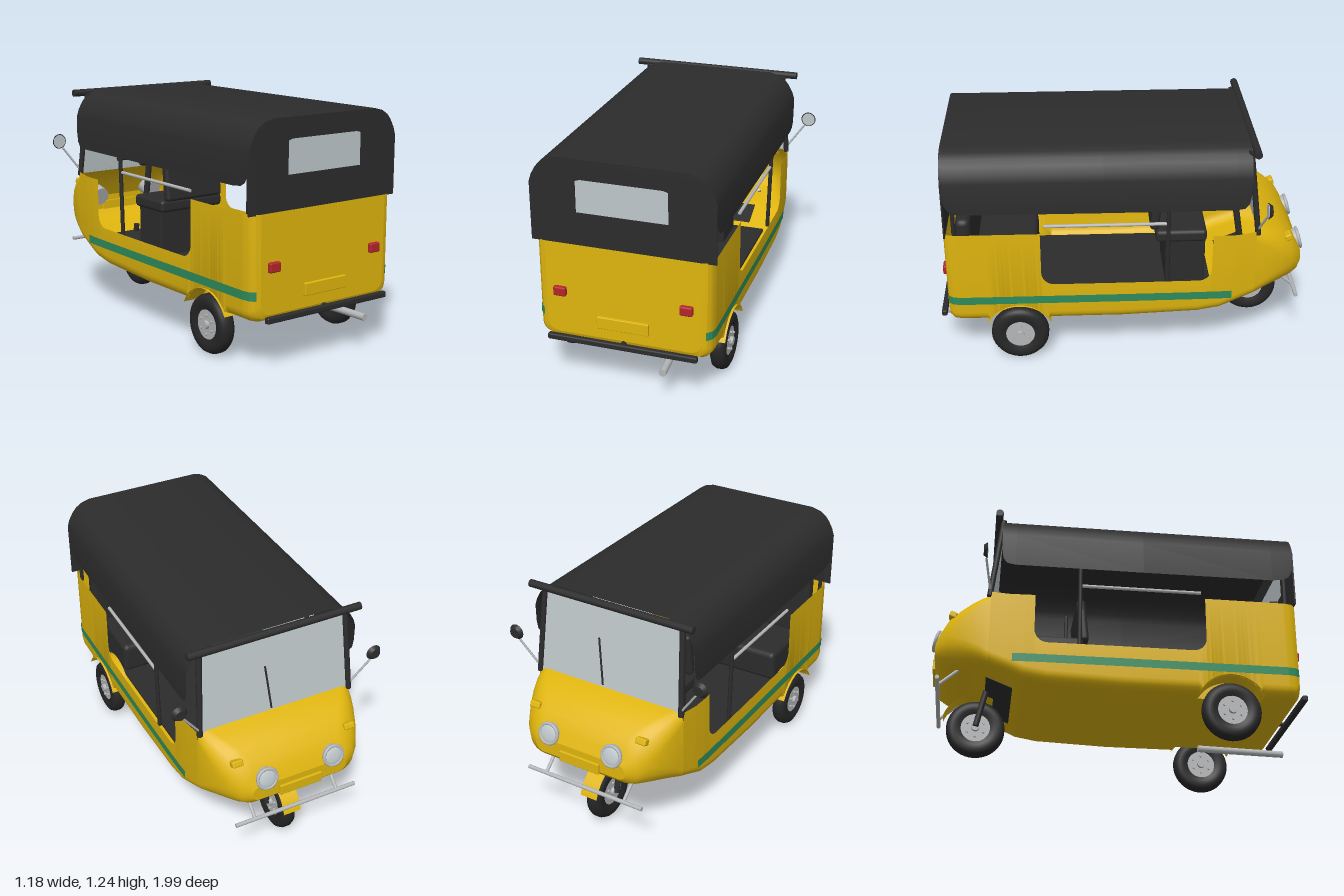
import * as THREE from 'three';
import { toCreasedNormals } from 'three/addons/utils/BufferGeometryUtils.js';
import { RoundedBoxGeometry } from 'three/addons/geometries/RoundedBoxGeometry.js';

const material = (name, color, side = THREE.FrontSide) =>
  Object.assign(new THREE.MeshStandardMaterial({ color, side }), { name });

// Linear lookup in rows [z, value...] sorted by falling z
function lookup(rows, z, col) {
  if (z >= rows[0][0]) return rows[0][col];
  for (let i = 1; i < rows.length; i++) {
    const a = rows[i - 1], b = rows[i];
    if (z >= b[0]) return a[col] + (b[col] - a[col]) * (a[0] - z) / (a[0] - b[0]);
  }
  return rows[rows.length - 1][col];
}

// Skin through equal-length open rings of [x, y, z]
function loft(rings, crease = 0.6) {
  const n = rings[0].length, index = [];
  for (let i = 0; i < rings.length - 1; i++)
    for (let j = 0; j < n - 1; j++) {
      const a = i * n + j, b = a + n;
      index.push(a, a + 1, b, a + 1, b + 1, b);
    }
  const g = new THREE.BufferGeometry();
  g.setAttribute('position', new THREE.Float32BufferAttribute(rings.flat(2), 3));
  g.setIndex(index);
  g.computeVertexNormals();
  return toCreasedNormals(g, crease);
}

const ringShape = ring => new THREE.Shape(ring.map(p => new THREE.Vector2(p[0], p[1])));

// Tub sections: z, underside height, half width
const TUB = [[0.93, 0.285, 0.405], [0.922, 0.265, 0.432], [0.9, 0.253, 0.449], [0.86, 0.25, 0.457],
  [0, 0.25, 0.458], [-0.4, 0.265, 0.456], [-0.52, 0.285, 0.454], [-0.6, 0.32, 0.45], [-0.7, 0.36, 0.44]];
// Nose sections: z, underside, top, half width, corner radius
const NOSE = [[-0.7, 0.36, 0.762, 0.44, 0.06], [-0.74, 0.372, 0.752, 0.433, 0.075], [-0.79, 0.382, 0.735, 0.42, 0.095],
  [-0.85, 0.39, 0.705, 0.398, 0.115], [-0.91, 0.402, 0.66, 0.365, 0.115], [-0.95, 0.425, 0.59, 0.325, 0.08],
  [-0.975, 0.455, 0.54, 0.27, 0.04]];
const halfWidth = z => lookup(TUB, z, 2);

// Height of the side wall, with the rounded door opening
function wallTop(z) {
  if (z > 0.43) return 0.787;
  if (z < -0.47) return z < -0.6 ? 0.75 + (-0.6 - z) * 0.12 : 0.75;
  const r = 0.07, d = Math.min(0.43 - z, z + 0.47);
  return d < r ? 0.55 - Math.sqrt(r * r - (r - d) ** 2) : 0.48;
}

// U-shaped tub section, with a notch over the rear wheels
function tubRing(z) {
  const yb = lookup(TUB, z, 1), w = halfWidth(z);
  const arch = 0.185 ** 2 - (z - 0.555) ** 2;
  const lift = arch > 0 ? Math.max(0, 0.16 + Math.sqrt(arch) - yb) : 0;
  const r = lift > 0 ? 0.01 : 0.06, xi = Math.min(0.36, w - r);
  const half = [[0, yb, z], [xi, yb, z], [xi, yb + lift, z]];
  for (let i = 0; i <= 5; i++) {
    const a = i / 5 * Math.PI / 2;
    half.push([w - r + r * Math.sin(a), yb + lift + r - r * Math.cos(a), z]);
  }
  half.push([w, wallTop(z), z]);
  return [...half.slice(1).reverse().map(p => [-p[0], p[1], p[2]]), ...half];
}

function noseRing([z, yb, yt, w, r]) {
  const ring = [];
  [[1, 1], [-1, 1], [-1, -1], [1, -1]].forEach(([sx, sy], q) => {
    for (let i = 0; i <= 5; i++) {
      const a = (q + i / 5) * Math.PI / 2;
      ring.push([sx * (w - r) + r * Math.cos(a), (sy > 0 ? yt - r : yb + r) + r * Math.sin(a), z]);
    }
  });
  return [...ring, ring[0]];
}

// Curved mudguard strip around a wheel centre
function guard(cz, r, x0, x1, from, to) {
  const rings = [];
  for (let i = 0; i <= 20; i++) {
    const a = THREE.MathUtils.degToRad(from + (to - from) * i / 20);
    rings.push([x0, x1].map(x => [x, 0.16 + r * Math.sin(a), cz + r * Math.cos(a)]));
  }
  return loft(rings);
}

export function createModel() {
  const D = THREE.DoubleSide;
  const yellow = material('yellow paint', 0xdfb50e, D), black = material('black canvas and trim', 0x2c2c2c, D);
  const rubber = material('rubber', 0x262626), silver = material('silver metal', 0xb4b6b8);
  const glass = material('glass', 0xbfc8cb, D), green = material('green stripe', 0x2d8b5c, D);
  const red = material('red lens', 0xb3262c);

  const model = new THREE.Group();
  const add = (name, geo, mat, pos = [0, 0, 0], rot = [0, 0, 0], parent = model) => {
    const m = new THREE.Mesh(geo, mat);
    m.name = name;
    m.position.set(...pos);
    m.rotation.set(...rot);
    parent.add(m);
    return m;
  };
  const box = (name, size, mat, pos, rot, r = 0.008) =>
    add(name, new RoundedBoxGeometry(...size, 2, r), mat, pos, rot);
  const rod = (name, a, b, r, mat) => {
    const p = new THREE.Vector3(...a), q = new THREE.Vector3(...b), d = q.clone().sub(p);
    const m = add(name, new THREE.CylinderGeometry(r, r, d.length(), 12), mat);
    m.position.copy(p.add(q).multiplyScalar(0.5));
    m.quaternion.setFromUnitVectors(new THREE.Vector3(0, 1, 0), d.normalize());
  };

  // Body shell
  const zs = [0.93, 0.926, 0.922, 0.91, 0.43001, -0.47001, ...TUB.map(t => t[0])];
  for (let z = 0.88; z > -0.7; z -= 0.01) zs.push(z);
  zs.push(0.43, 0.4285, 0.425, -0.47, -0.4685, -0.465);
  zs.sort((a, b) => b - a);
  add('tub', loft(zs.map(tubRing)), yellow);
  add('rearPanel', new THREE.ShapeGeometry(ringShape(tubRing(0.93))), yellow, [0, 0, 0.93]);
  add('nose', loft(NOSE.map(noseRing), 0.8), yellow);
  add('noseTip', new THREE.ShapeGeometry(ringShape(noseRing(NOSE[6]))), yellow, [0, 0, -0.975]);
  box('floor', [0.71, 0.02, 1.4], black, [0, 0.3, 0.2]);
  box('frontWheelWell', [0.5, 0.008, 0.15], black, [0, 0.333, -0.635], [0.38, 0, 0], 0.003);

  // Canopy shell with rounded lower corners at its ends
  const arch = [[0.475, 1.09], [0.462, 1.13], [0.44, 1.17], [0.415, 1.2], [0.38, 1.222], [0.33, 1.235]];
  const canopy = [[0.918, 1.0], [0.905, 0.965], [0.89, 0.94], [0.86, 0.922], [0.8, 0.915], [0.1, 0.912],
    [-0.58, 0.912], [-0.625, 0.92], [-0.645, 0.945], [-0.655, 1.0]].map(([z, low]) => {
    const side = [[0.475, low], ...arch];
    return [...side, ...side.slice().reverse().map(([x, y]) => [-x, y])].map(([x, y]) => [x, y, z]);
  });
  add('canopy', loft(canopy, 0.7), black);
  const curtain = new THREE.Shape([[0.475, 0.782], ...arch, ...arch.slice().reverse().map(([x, y]) => [-x, y]),
    [-0.475, 0.782]].map(p => new THREE.Vector2(...p)));
  curtain.holes.push(new THREE.Path([[-0.235, 0.957], [-0.235, 1.122], [-0.21, 1.13], [0.21, 1.13], [0.235, 1.122],
    [0.235, 0.957]].map(p => new THREE.Vector2(...p))));
  add('rearCurtain', new THREE.ExtrudeGeometry(curtain, { depth: 0.008, bevelEnabled: false }), black, [0, 0, 0.914]);
  add('rearWindow', new THREE.BoxGeometry(0.48, 0.18, 0.004), glass, [0, 1.043, 0.917]);
  rod('canopyRoll', [-0.48, 1.222, -0.675], [0.48, 1.222, -0.675], 0.02, black);

  // Windscreen and wiper
  add('windscreen', loft([[[-0.425, 0.75, -0.705], [0.425, 0.75, -0.705]],
    [[-0.4, 1.215, -0.65], [0.4, 1.215, -0.65]]]), glass);
  rod('wiper', [0.03, 0.78, -0.712], [0.06, 1.03, -0.685], 0.005, black);

  // Seats
  box('driverSeatBase', [0.36, 0.27, 0.22], black, [0, 0.44, -0.355]);
  box('driverSeatCushion', [0.42, 0.07, 0.28], black, [0, 0.605, -0.33], [0, 0, 0], 0.02);
  box('driverBackrest', [0.38, 0.25, 0.05], black, [0, 0.76, -0.195], [-0.1, 0, 0], 0.02);
  box('rearSeatCushion', [0.7, 0.18, 0.38], black, [0, 0.39, 0.65], [0, 0, 0], 0.03);
  box('rearBackrest', [0.8, 0.38, 0.08], black, [0, 0.65, 0.83], [0, 0, 0], 0.03);

  // Steering
  rod('steeringColumn', [0, 0.36, -0.7], [0, 0.8, -0.63], 0.018, black);
  rod('handlebar', [-0.24, 0.83, -0.6], [0.24, 0.83, -0.6], 0.012, black);
  box('instrumentPod', [0.16, 0.05, 0.09], black, [0, 0.81, -0.63], [0.6, 0, 0], 0.015);

  for (const s of [-1, 1]) {
    // Side stripe follows the body wall
    const stripe = [];
    for (let z = 0.925; z >= -0.581; z -= 0.005)
      stripe.push([0.365, 0.41].map(y => [s * (halfWidth(z) + 0.004), y, z]));
    add('sideStripe', loft(stripe), green);

    // Posts and rails
    rod('screenPillar', [s * 0.43, 0.74, -0.707], [s * 0.405, 1.215, -0.65], 0.015, black);
    rod('middlePost', [s * 0.44, 0.46, -0.235], [s * 0.455, 1.1, -0.235], 0.011, black);
    rod('rearPost', [s * 0.43, 0.74, 0.873], [s * 0.44, 1.1, 0.873], 0.011, black);
    rod('sideRail', [s * 0.445, 0.825, 0.41], [s * 0.445, 0.825, -0.235], 0.009, silver);

    // Mirrors
    rod('mirrorArm', [s * 0.43, 0.77, -0.705], [s * 0.53, 0.91, -0.735], 0.006, silver);
    add('mirrorShell', new THREE.CylinderGeometry(0.042, 0.028, 0.02, 24), black, [s * 0.55, 0.945, -0.74], [Math.PI / 2, 0, 0]);
    add('mirrorGlass', new THREE.CylinderGeometry(0.037, 0.037, 0.004, 24), glass, [s * 0.55, 0.945, -0.729], [Math.PI / 2, 0, 0]);

    // Lamps
    box('tailLamp', [0.066, 0.05, 0.03], red, [s * 0.33, 0.522, 0.938]);
    const lamp = new THREE.Group();
    lamp.name = 'headlamp';
    lamp.position.set(s * 0.19, 0.577, -0.972);
    lamp.rotation.set(-Math.PI / 2 + 0.28, 0, 0);
    model.add(lamp);
    add('headlampBowl', new THREE.CylinderGeometry(0.055, 0.055, 0.09, 28), silver, [0, -0.045, 0], [0, 0, 0], lamp);
    add('headlampRim', new THREE.TorusGeometry(0.053, 0.009, 8, 32), silver, [0, 0, 0], [Math.PI / 2, 0, 0], lamp);
    add('headlampLens', new THREE.SphereGeometry(0.05, 24, 8, 0, Math.PI * 2, 0, Math.PI / 2), glass, [0, 0, 0], [0, 0, 0], lamp).scale.y = 0.25;
    box('indicator', [0.06, 0.035, 0.04], yellow, [s * 0.32, 0.665, -0.89], [0.4, 0, 0]);

    // Rear mudguards, fork and bumper struts
    add('rearMudguard', guard(0.555, 0.19, s * 0.36, s * 0.468, 26, 154), yellow);
    rod('forkLeg', [s * 0.056, 0.16, -0.745], [s * 0.056, 0.4, -0.69], 0.016, black);
    rod('bumperStrut', [s * 0.24, 0.41, -0.83], [s * 0.24, 0.305, -0.95], 0.009, silver);
  }
  add('frontMudguard', guard(-0.745, 0.182, -0.05, 0.05, 62, 163), yellow);
  rod('frontBumper', [-0.35, 0.303, -0.952], [0.35, 0.303, -0.952], 0.011, silver);
  box('frontPlate', [0.24, 0.06, 0.015], yellow, [0, 0.475, -0.98], [0, 0, 0], 0.004);
  box('rearPlate', [0.272, 0.064, 0.02], yellow, [0, 0.378, 0.938], [0, 0, 0], 0.004);
  box('rearBumper', [0.79, 0.032, 0.03], black, [0, 0.27, 0.96]);
  rod('bumperMount', [0, 0.275, 0.85], [0, 0.275, 0.96], 0.012, black);
  rod('exhaust', [0.225, 0.182, 0.995], [0.2, 0.185, 0.5], 0.019, silver);

  // Wheels
  const profile = [[0.075, -0.03], [0.1, -0.04], [0.125, -0.042], [0.145, -0.033], [0.155, -0.014], [0.155, 0.014],
    [0.145, 0.033], [0.125, 0.042], [0.1, 0.04], [0.075, 0.03]].map(p => new THREE.Vector2(...p));
  for (const [x, z] of [[0.417, 0.555], [-0.417, 0.555], [0, -0.745]]) {
    const wheel = new THREE.Group();
    wheel.name = x ? 'rearWheel' : 'frontWheel';
    wheel.position.set(x, 0.16, z);
    wheel.rotation.z = Math.PI / 2;
    model.add(wheel);
    add('tyre', new THREE.LatheGeometry(profile, 40), rubber, [0, 0, 0], [0, 0, 0], wheel);
    add('rim', new THREE.CylinderGeometry(0.08, 0.08, 0.062, 32), silver, [0, 0, 0], [0, 0, 0], wheel);
    add('hub', new THREE.CylinderGeometry(0.022, 0.022, 0.1, 16), silver, [0, 0, 0], [0, 0, 0], wheel);
    for (let i = 0; i < 6; i++) {
      const a = i * Math.PI / 3;
      add('wheelNut', new THREE.CylinderGeometry(0.007, 0.007, 0.085, 6), silver,
        [0.05 * Math.cos(a), 0, 0.05 * Math.sin(a)], [0, 0, 0], wheel);
    }
  }
  return model;
}
